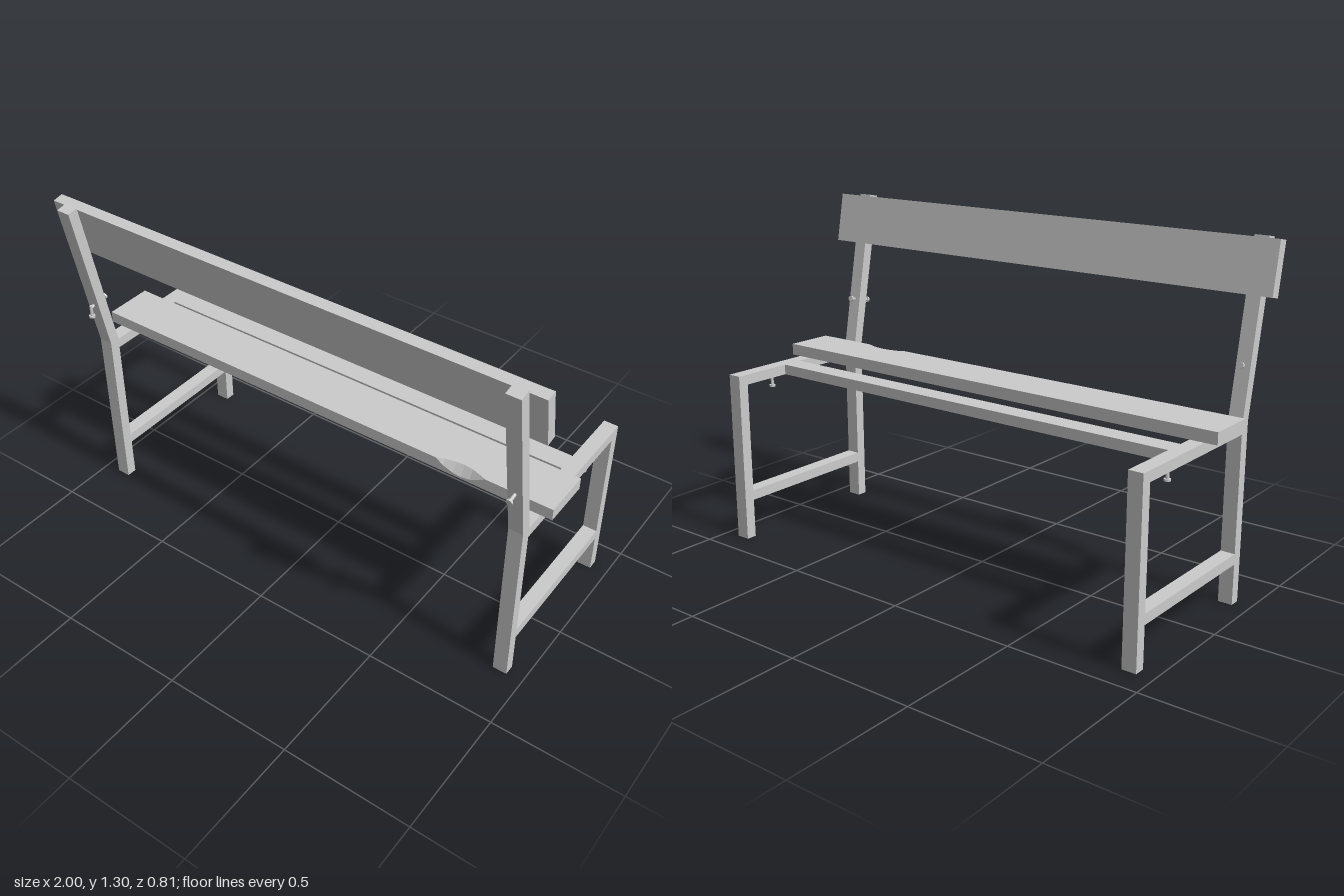
import * as THREE from 'three';

const material = new THREE.MeshStandardMaterial({ color: 0xcccccc, flatShading: true });

function add(parent, name, geometry, x = 0, y = 0, z = 0) {
  const mesh = new THREE.Mesh(geometry, material);
  mesh.name = name;
  mesh.position.set(x, y, z);
  parent.add(mesh);
  return mesh;
}

// Extrudes a side profile of [z, y] points along x, centred on x = 0
function sideExtrude(points, width, hole) {
  const toVectors = (list) => list.map(([z, y]) => new THREE.Vector2(z, y));
  const shape = new THREE.Shape(toVectors(points));
  if (hole) shape.holes.push(new THREE.Path(toVectors(hole)));
  return new THREE.ExtrudeGeometry(shape, { depth: width, bevelEnabled: false })
    .translate(0, 0, -width / 2)
    .rotateY(-Math.PI / 2);
}

// Plank lofted along x, with a worn chip in its top rear edge
function chippedPlank() {
  const stations = [[-0.985, 0], [0.53, 0], [0.56, 0.55], [0.6, 0.9], [0.63, 1],
    [0.665, 0.85], [0.7, 0.4], [0.725, 0], [0.98, 0]];
  const rings = stations.map(([x, chip]) => [
    [x, 0.675, -0.022], [x, 0.675, 0.17],
    [x, 0.72 - 0.037 * chip, 0.17], [x, 0.72, 0.17 - 0.024 * chip], [x, 0.72, -0.022],
  ]);
  const positions = [];
  const n = rings[0].length;
  const tri = (a, b, c) => positions.push(...a, ...b, ...c);
  for (let i = 0; i < rings.length - 1; i++) {
    for (let j = 0; j < n; j++) {
      const k = (j + 1) % n;
      const [a, b, c, d] = [rings[i][j], rings[i][k], rings[i + 1][k], rings[i + 1][j]];
      tri(a, d, c);
      tri(a, c, b);
    }
  }
  const first = rings[0], last = rings[rings.length - 1];
  for (let j = 1; j < n - 1; j++) {
    tri(first[0], first[j], first[j + 1]);
    tri(last[0], last[j + 1], last[j]);
  }
  const geometry = new THREE.BufferGeometry();
  geometry.setAttribute('position', new THREE.Float32BufferAttribute(positions, 3));
  geometry.computeVertexNormals();
  return geometry;
}

// Bolt along local y, with a head at each chosen end
function bolt(name, length, topHead, bottomHead) {
  const group = new THREE.Group();
  group.name = name;
  add(group, 'boltShank', new THREE.CylinderGeometry(0.006, 0.006, length, 10));
  const head = new THREE.CylinderGeometry(0.012, 0.012, 0.008, 10);
  if (topHead) add(group, 'boltHead', head, 0, length / 2 - 0.004, 0);
  if (bottomHead) add(group, 'boltHead', head, 0, -length / 2 + 0.004, 0);
  return group;
}

export function createModel() {
  const bench = new THREE.Group();
  bench.name = 'bench';

  // Side frames: legs, stretcher, seat rail and leaning back post
  const frame = sideExtrude(
    [[-0.402, 0], [-0.36, 0], [-0.36, 0.155], [0.245, 0.155], [0.245, 0], [0.286, 0],
      [0.286, 0.675], [0.405, 1.297], [0.363, 1.305], [0.245, 0.675], [-0.402, 0.675]],
    0.055,
    [[-0.36, 0.195], [0.245, 0.195], [0.245, 0.635], [-0.36, 0.635]],
  );
  for (const side of [-1, 1]) {
    add(bench, side > 0 ? 'leftFrame' : 'rightFrame', frame, side * 0.91);
  }

  // Cross rail joining the frames
  add(bench, 'crossRail', new THREE.BoxGeometry(1.77, 0.04, 0.08), 0, 0.655, -0.12);

  // Planks
  add(bench, 'seatPlank', chippedPlank());
  add(bench, 'backPlank', sideExtrude(
    [[0.325, 1.105], [0.361, 1.297], [0.32, 1.305], [0.284, 1.113]], 2));

  // Loose bolts left under the seat rails
  for (const [x, z] of [[0.91, -0.207], [-0.91, -0.207], [-0.91, -0.337]]) {
    const loose = bolt('seatBolt', 0.06, false, true);
    loose.position.set(x, 0.62, z);
    bench.add(loose);
  }

  // Straight bolt through the left post
  const straight = bolt('leftPostBolt', 0.106, true, true);
  straight.rotation.x = Math.PI / 2 + 0.19;
  straight.position.set(0.91, 0.865, 0.308);
  bench.add(straight);

  // Bent bolt in the right post: a stub and a hanging end
  const stub = bolt('rightPostBolt', 0.08, false, true);
  stub.rotation.x = Math.PI / 2 + 0.19;
  stub.position.set(-0.91, 0.866, 0.298);
  bench.add(stub);
  const hanging = bolt('rightPostBoltEnd', 0.05, false, true);
  hanging.position.set(-0.91, 0.842, 0.337);
  bench.add(hanging);

  return bench;
}
